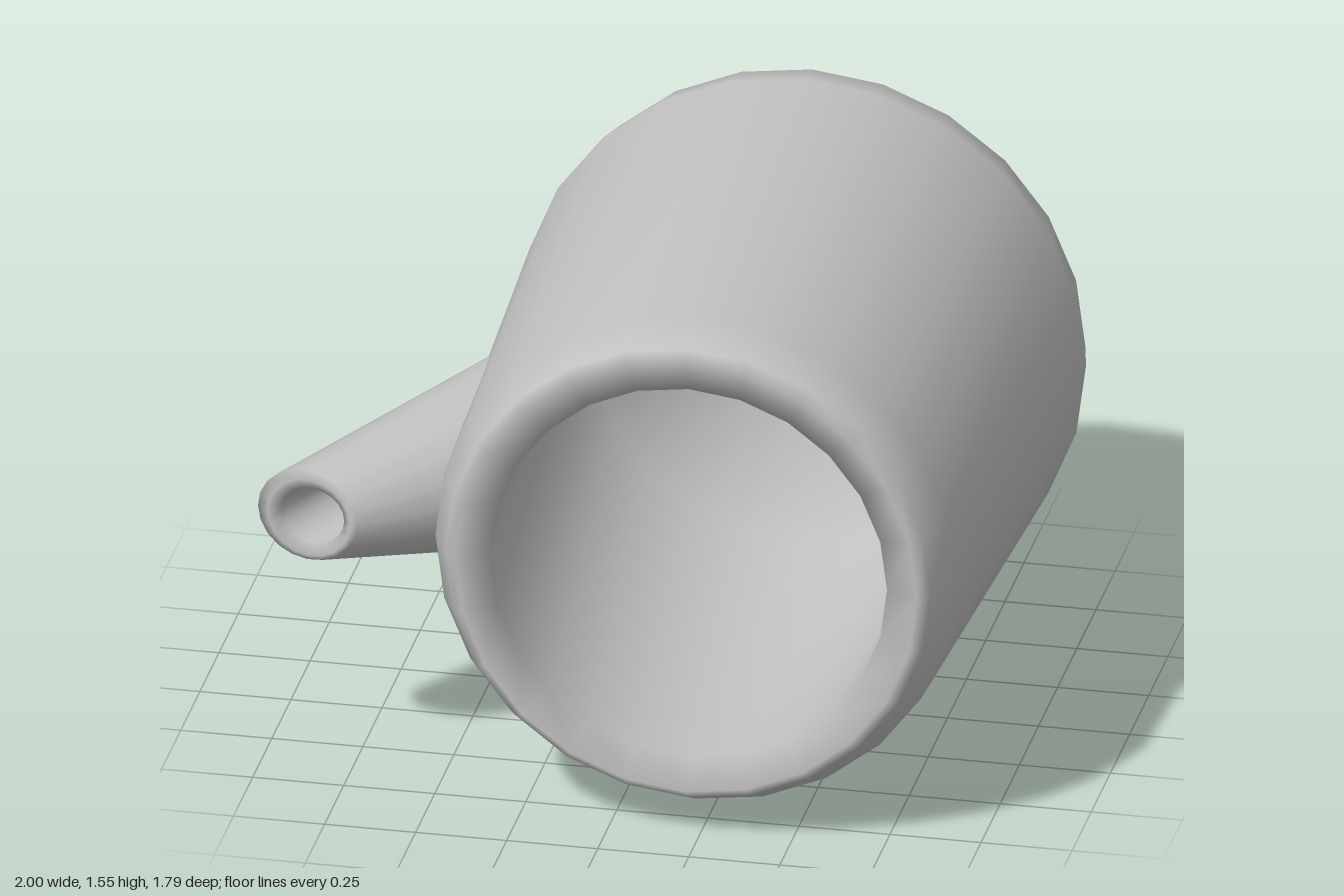
import * as THREE from 'three';

// Loft elliptical rings [cx, cz, ux, uz, ry] around a horizontal path at height y.
function loft(rings, y, sides) {
  const positions = [], index = [];
  for (const [cx, cz, ux, uz, ry] of rings) {
    for (let j = 0; j < sides; j++) {
      const a = (j / sides) * Math.PI * 2;
      positions.push(cx + ux * Math.cos(a), y + ry * Math.sin(a), cz + uz * Math.cos(a));
    }
  }
  for (let i = 0; i < rings.length - 1; i++) {
    for (let j = 0; j < sides; j++) {
      const k = (j + 1) % sides;
      const a = i * sides + j, b = i * sides + k, c = a + sides, d = b + sides;
      index.push(a, b, c, b, d, c);
    }
  }
  const geometry = new THREE.BufferGeometry();
  geometry.setAttribute('position', new THREE.Float32BufferAttribute(positions, 3));
  geometry.setIndex(index);
  geometry.computeVertexNormals();
  return geometry;
}

export function createModel() {
  const group = new THREE.Group();
  const grey = new THREE.MeshStandardMaterial({ color: 0xc0c0c0 });
  grey.name = 'plain grey';
  const axisY = 0.777;

  // Hollow cup lying on its side: back, outer wall, lip, inner wall, floor
  const profile = [
    [0, -0.895], [0.55, -0.895], [0.672, -0.84], [0.75, -0.755], [0.777, -0.635],
    [0.715, 0.765], [0.665, 0.865], [0.635, 0.895], [0.545, 0.86],
    [0.61, -0.66], [0, -0.72],
  ].map(([r, z]) => new THREE.Vector2(r, z));
  const bodyGeometry = new THREE.LatheGeometry(profile, 24);
  bodyGeometry.rotateX(Math.PI / 2);
  const body = new THREE.Mesh(bodyGeometry, grey);
  body.name = 'body';
  body.position.set(0.22, axisY, 0);
  group.add(body);

  // Tapering side spout, rolled lip and hollow throat
  const spoutRings = [
    [-0.424, 0.15, -0.01, 0.42, 0.255],
    [-0.857, 0.713, 0.143, 0.033, 0.132],
    [-0.85, 0.732, 0.118, 0.025, 0.112],
    [-0.842, 0.715, 0.09, 0.018, 0.08],
    [-0.70, 0.53, 0.09, 0.06, 0.085],
    [-0.70, 0.53, 0, 0, 0],
  ];
  const spout = new THREE.Mesh(loft(spoutRings, axisY, 20), grey);
  spout.name = 'spout';
  group.add(spout);

  return group;
}
